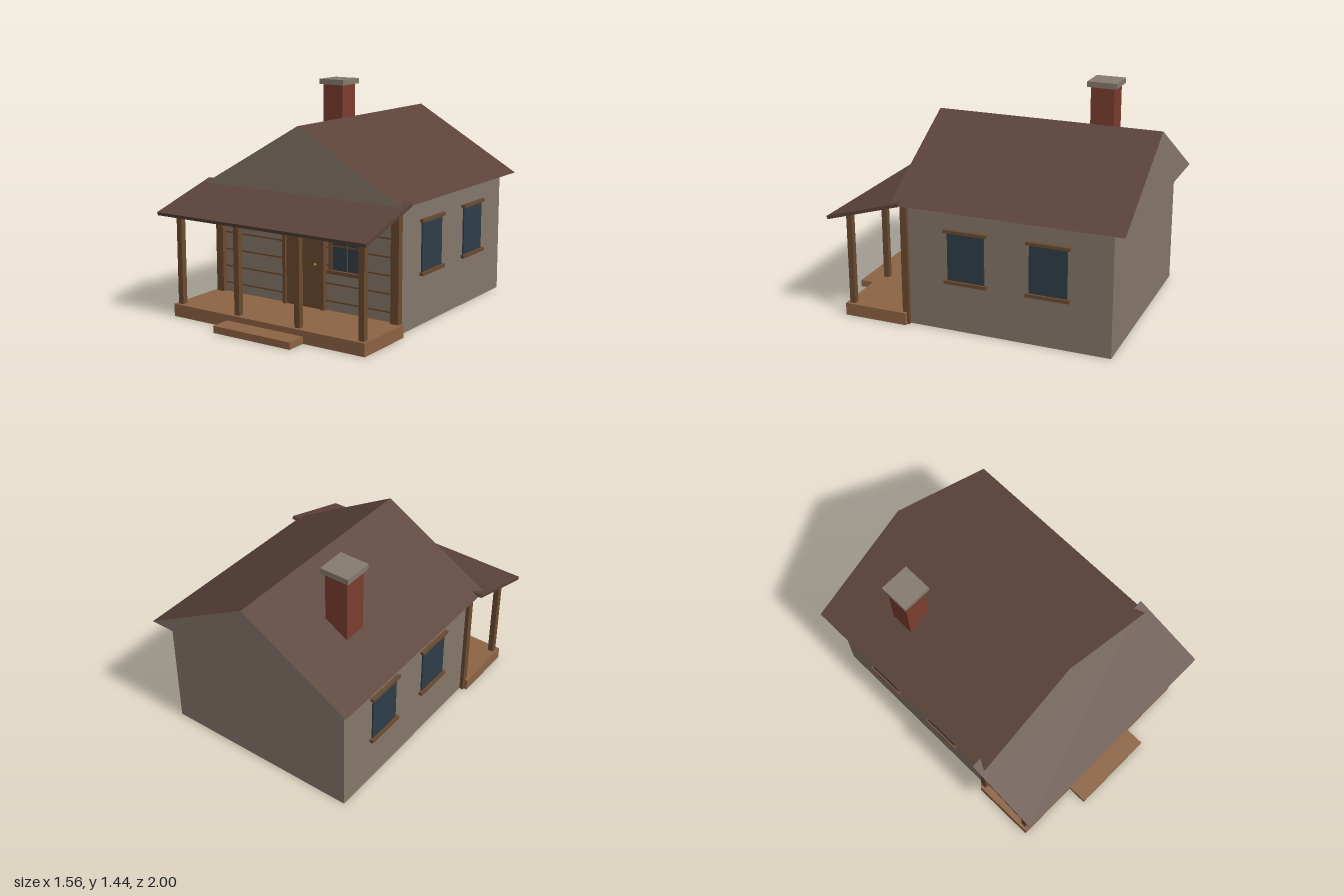
import * as THREE from 'three';

const mat = (color, side = THREE.FrontSide) =>
  new THREE.MeshStandardMaterial({ color, side });

export function createModel() {
  const house = new THREE.Group();
  house.name = 'cabin';

  const wall = mat(0x85776a);
  const timber = mat(0x6b4a30);
  const plank = mat(0x8d6444);
  const shingle = mat(0x5b4339);
  const brick = mat(0x7a3d2e);
  const stone = mat(0x857b6e);
  const glass = mat(0x2f3e48);
  const brass = mat(0xb08d3c);

  // Box given by its extents along x, y and z
  function box(name, material, [x0, x1], [y0, y1], [z0, z1], parent = house) {
    const mesh = new THREE.Mesh(new THREE.BoxGeometry(x1 - x0, y1 - y0, z1 - z0), material);
    mesh.position.set((x0 + x1) / 2, (y0 + y1) / 2, (z0 + z1) / 2);
    mesh.name = name;
    parent.add(mesh);
    return mesh;
  }
  // Extent from centre and full size
  const around = (c, size) => [c - size / 2, c + size / 2];

  // Body
  box('walls', wall, [-0.68, 0.68], [0, 0.815], [-0.915, 0.425]);

  // Main roof: gable prism with shingled slopes
  const eave = 0.755, base = 0.812, ridge = 1.243, back = -1, front = 0.51;
  const L0 = [-eave, base, back], L1 = [-eave, base, front];
  const R0 = [eave, base, back], R1 = [eave, base, front];
  const T0 = [0, ridge, back], T1 = [0, ridge, front];
  function faces(name, material, corners) {
    const geometry = new THREE.BufferGeometry();
    geometry.setAttribute('position', new THREE.Float32BufferAttribute(corners.flat(), 3));
    geometry.computeVertexNormals();
    const mesh = new THREE.Mesh(geometry, material);
    mesh.name = name;
    house.add(mesh);
  }
  faces('roofSlopes', shingle, [
    L0, L1, T1, L0, T1, T0,
    R1, R0, T0, R1, T0, T1,
  ]);
  faces('gablesAndSoffit', wall, [
    L1, R1, T1,
    R0, L0, T0,
    L0, R0, R1, L0, R1, L1,
  ]);

  // Chimney
  box('chimney', brick, [-0.46, -0.30], [0.85, 1.405], [-0.59, -0.43]);
  box('chimneyCap', stone, [-0.48, -0.28], [1.405, 1.442], [-0.61, -0.41]);

  // Porch deck, step and sloping roof
  box('porchDeck', plank, [-0.727, 0.727], [0, 0.082], [0.435, 0.866]);
  box('porchStep', plank, [-0.29, 0.29], [0, 0.045], [0.86, 1]);
  const porchRoof = box('porchRoof', shingle, around(0, 1.56), around(0.753, 0.022), around(0.688, 0.526));
  porchRoof.rotation.x = 0.287;

  // Porch posts and corner boards
  for (const x of [-0.689, -0.23, 0.23, 0.689]) {
    box('porchPost', timber, around(x, 0.038), [0.08, 0.695], around(0.825, 0.038));
  }
  for (const side of [-1, 1]) {
    box('cornerPost', timber, around(side * 0.678, 0.056), [0, 0.812], [0.42, 0.464]);
  }

  // Seams between the front wall boards
  for (let i = 0; i < 5; i++) {
    box('boardSeam', timber, [-0.66, 0.66], around(0.142 + i * 0.1145, 0.01), [0.42, 0.432]);
  }

  // Door with frame and knob
  box('door', timber, [-0.138, 0.138], [0.08, 0.69], [0.42, 0.45]);
  for (const side of [-1, 1]) {
    box('doorJamb', timber, around(side * 0.149, 0.024), [0.08, 0.69], [0.42, 0.465]);
  }
  box('doorHead', timber, [-0.161, 0.161], [0.687, 0.712], [0.42, 0.465]);
  const knob = new THREE.Mesh(new THREE.SphereGeometry(0.009, 12, 8), brass);
  knob.name = 'doorKnob';
  knob.position.set(0.09, 0.37, 0.457);
  house.add(knob);

  // Front window with cross bars
  const win = new THREE.Group();
  win.name = 'frontWindow';
  win.position.set(0.322, 0, 0.425);
  house.add(win);
  box('glass', glass, [-0.112, 0.112], [0.348, 0.658], [-0.01, 0.012], win);
  for (const side of [-1, 1]) {
    box('windowJamb', timber, around(side * 0.123, 0.024), [0.33, 0.67], [-0.01, 0.025], win);
  }
  box('windowHead', timber, [-0.143, 0.143], [0.655, 0.679], [-0.01, 0.032], win);
  box('windowSill', timber, [-0.143, 0.143], [0.327, 0.35], [-0.01, 0.036], win);
  box('verticalBar', timber, around(0, 0.01), [0.345, 0.66], [-0.01, 0.018], win);
  box('horizontalBar', timber, [-0.112, 0.112], around(0.504, 0.01), [-0.01, 0.018], win);

  // Two windows on each side wall
  for (const side of [-1, 1]) {
    for (const z of [0.03, -0.51]) {
      const w = new THREE.Group();
      w.name = 'sideWindow';
      w.position.set(side * 0.68, 0, z);
      house.add(w);
      box('glass', glass, around(0, 0.02), [0.34, 0.662], around(0, 0.245), w);
      box('windowHead', timber, around(0, 0.05), [0.66, 0.68], around(0, 0.284), w);
      box('windowSill', timber, around(0, 0.05), [0.322, 0.344], around(0, 0.284), w);
    }
  }

  return house;
}
